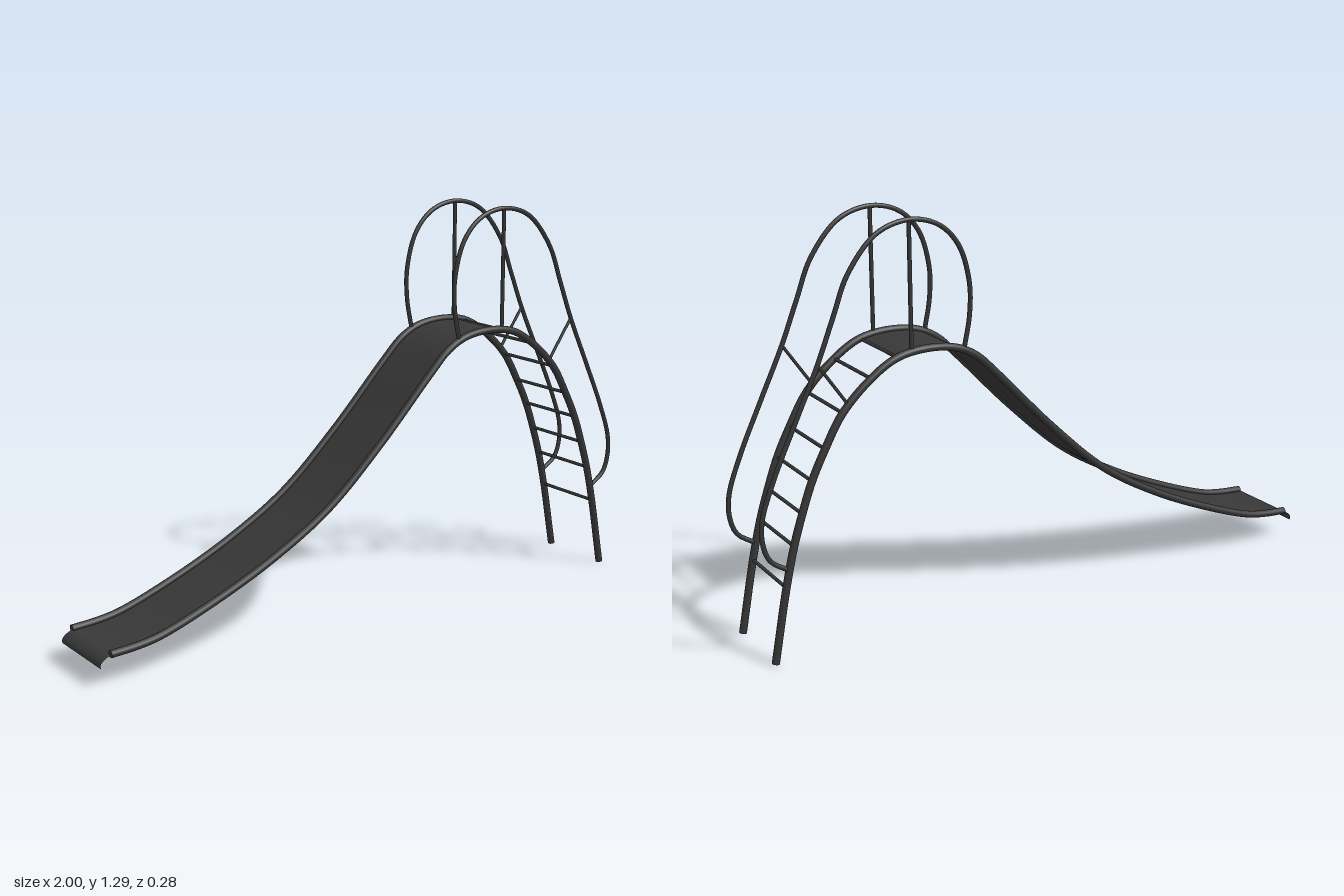
import * as THREE from 'three';

const SIDE_Z = 0.126, RAIL_R = 0.012, BAR_R = 0.0075;

const curve = (pts) => new THREE.CatmullRomCurve3(pts.map(([x, y]) => new THREE.Vector3(x, y, 0)), false, 'centripetal');

// main arch: slide edge, crest and ladder leg in one line
const railCurve = curve([
  [-0.965, 0.098], [-0.88, 0.104], [-0.8, 0.118], [-0.6, 0.19], [-0.4, 0.281], [-0.2, 0.4], [0, 0.577],
  [0.2, 0.782], [0.27, 0.848], [0.34, 0.883], [0.44, 0.895], [0.54, 0.88], [0.625, 0.83], [0.72, 0.74],
  [0.78, 0.64], [0.825, 0.55], [0.86, 0.455], [0.89, 0.36], [0.92, 0.235], [0.965, 0.002],
]);

// looping handrail
const handCurve = curve([
  [0.313, 0.875], [0.293, 0.98], [0.293, 1.08], [0.328, 1.195], [0.393, 1.262], [0.49, 1.287], [0.596, 1.257],
  [0.69, 1.15], [0.74, 1.03], [0.794, 0.896], [0.87, 0.735], [0.944, 0.575], [0.985, 0.46], [0.988, 0.39],
  [0.967, 0.33], [0.912, 0.29],
]);

export function createModel() {
  const model = new THREE.Group();
  model.name = 'playgroundSlide';
  const metal = new THREE.MeshStandardMaterial({ color: 0x363636 });
  metal.name = 'darkMetal';
  const sheetMetal = new THREE.MeshStandardMaterial({ color: 0x383838, side: THREE.DoubleSide });
  sheetMetal.name = 'darkSheet';

  const add = (name, geometry, material = metal, parent = model) => {
    const mesh = new THREE.Mesh(geometry, material);
    mesh.name = name;
    parent.add(mesh);
    return mesh;
  };

  // straight round bar between two points
  const bar = (name, a, b, r, parent) => {
    const from = new THREE.Vector3(...a), dir = new THREE.Vector3(...b).sub(from);
    const mesh = add(name, new THREE.CylinderGeometry(r, r, dir.length(), 12), metal, parent);
    mesh.position.copy(from).addScaledVector(dir, 0.5);
    mesh.quaternion.setFromUnitVectors(new THREE.Vector3(0, 1, 0), dir.normalize());
  };

  // both sides: rail with end caps, handrail, post and brace
  for (const [label, z] of [['front', SIDE_Z], ['back', -SIDE_Z]]) {
    const side = new THREE.Group();
    side.name = label + 'Side';
    side.position.z = z;
    model.add(side);
    add('archRail', new THREE.TubeGeometry(railCurve, 120, RAIL_R, 12), metal, side);
    for (const t of [0, 1]) {
      const cap = add('railCap', new THREE.CircleGeometry(RAIL_R, 12), metal, side);
      const out = railCurve.getTangentAt(t).multiplyScalar(t ? 1 : -1);
      cap.position.copy(railCurve.getPointAt(t));
      cap.quaternion.setFromUnitVectors(new THREE.Vector3(0, 0, 1), out);
    }
    add('handrail', new THREE.TubeGeometry(handCurve, 100, BAR_R, 10), metal, side);
    bar('handrailPost', [0.491, 0.89, 0], [0.491, 1.287, 0], 0.0065, side);
    bar('handrailBrace', [0.703, 0.765, 0], [0.794, 0.896, 0], 0.005, side);
  }

  // ladder rungs
  for (const [x, y] of [[0.625, 0.83], [0.72, 0.74], [0.78, 0.64], [0.825, 0.55], [0.86, 0.455], [0.89, 0.36], [0.92, 0.235]])
    bar('rung', [x, y, -SIDE_Z], [x, y, SIDE_Z], 0.0055, model);

  // sliding sheet: ribbon along the arch, with a curled lip at the low end
  const lip = [[-0.996, 0.058], [-0.999, 0.067], [-0.995, 0.076], [-0.986, 0.084], [-0.976, 0.09]];
  const profile = [...lip, ...railCurve.getSpacedPoints(120).filter((p) => p.x < 0.54).map((p) => [p.x, p.y - 0.004])];
  const positions = [], index = [];
  profile.forEach(([x, y], i) => {
    positions.push(x, y, SIDE_Z, x, y, -SIDE_Z);
    const a = i * 2;
    if (i) index.push(a - 2, a, a - 1, a, a + 1, a - 1);
  });
  const sheet = new THREE.BufferGeometry();
  sheet.setAttribute('position', new THREE.Float32BufferAttribute(positions, 3));
  sheet.setIndex(index);
  sheet.computeVertexNormals();
  add('slideSheet', sheet, sheetMetal);

  // stiffening bar under the top edge of the sheet
  bar('platformEdge', [0.532, 0.878, -SIDE_Z], [0.532, 0.878, SIDE_Z], 0.0055, model);
  return model;
}
